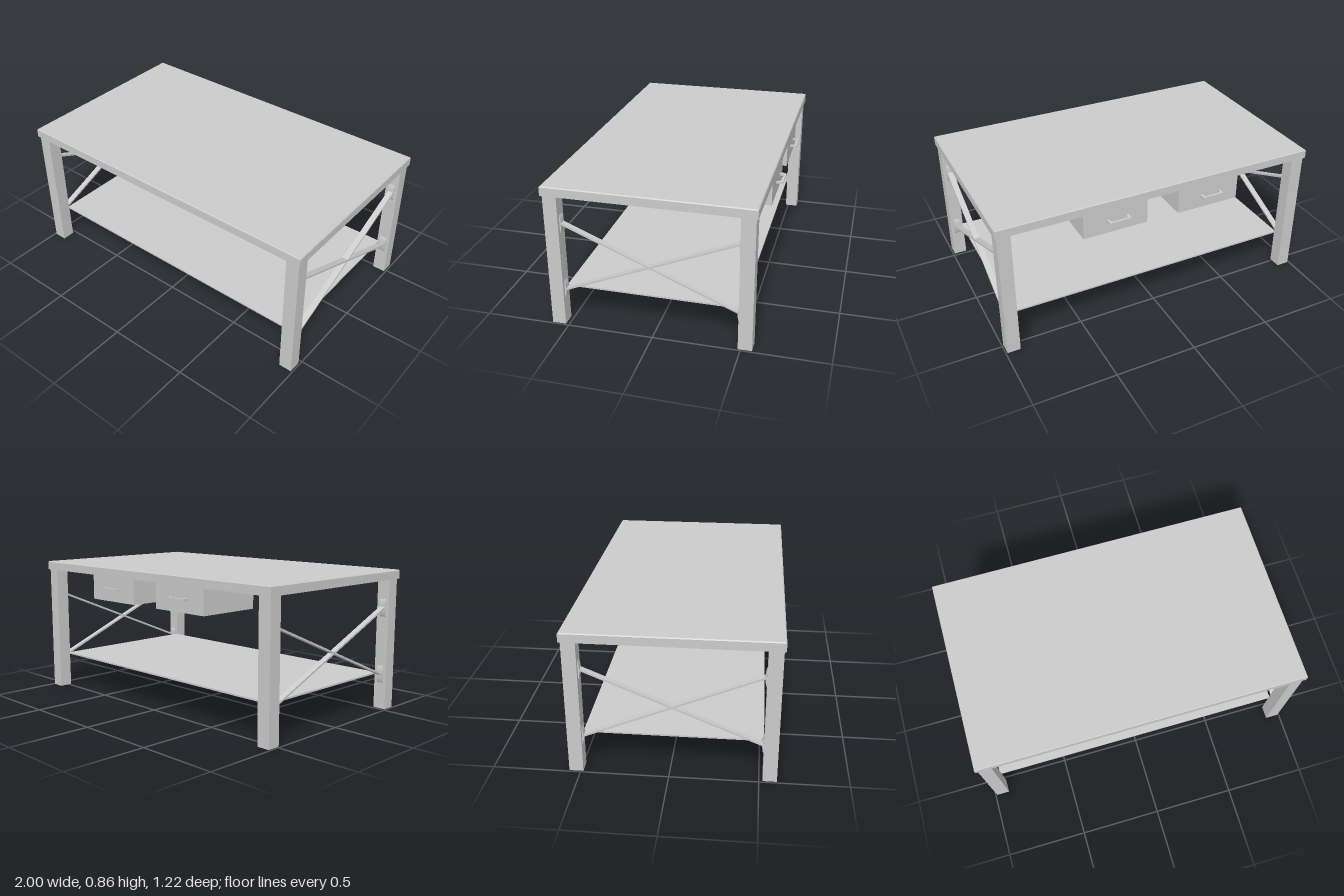
import * as THREE from 'three';

const material = new THREE.MeshStandardMaterial({ color: 0xcccccc, flatShading: true });

export function createModel() {
  const table = new THREE.Group();
  table.name = 'coffeeTable';

  const add = (name, geometry, x = 0, y = 0, z = 0) => {
    const mesh = new THREE.Mesh(geometry, material);
    mesh.name = name;
    mesh.position.set(x, y, z);
    table.add(mesh);
    return mesh;
  };
  // Box given by its lower and upper limits on each axis
  const block = (name, x0, x1, y0, y1, z0, z1) =>
    add(name, new THREE.BoxGeometry(x1 - x0, y1 - y0, z1 - z0),
      (x0 + x1) / 2, (y0 + y1) / 2, (z0 + z1) / 2);

  const backZ = -0.575, frontZ = 0.61;       // tabletop limits
  const legBack = -0.485, legFront = 0.52;   // inner faces of the legs
  const legX = 0.95, legW = 0.08;

  // Tabletop rim, hollow underneath
  const rect = (Type, x, z0, z1) => new Type([
    new THREE.Vector2(-x, -z1), new THREE.Vector2(x, -z1),
    new THREE.Vector2(x, -z0), new THREE.Vector2(-x, -z0)]);
  const rim = rect(THREE.Shape, 1, backZ, frontZ);
  rim.holes.push(rect(THREE.Path, 0.91, legBack, legFront));
  add('tabletopRim', new THREE.ExtrudeGeometry(rim, { depth: 0.04, bevelEnabled: false })
    .rotateX(-Math.PI / 2), 0, 0.805, 0);

  // Panel closing the rim, with a small chamfer around its upper edge
  block('tabletopPanel', -1, 1, 0.845, 0.854, backZ, frontZ);
  const edge = block('tabletopChamfer', -1, 1, 0.854, 0.86, backZ, frontZ);
  const p = edge.geometry.attributes.position;
  for (let i = 0; i < p.count; i++) {
    if (p.getY(i) > 0) {
      p.setX(i, p.getX(i) - Math.sign(p.getX(i)) * 0.005);
      p.setZ(i, p.getZ(i) - Math.sign(p.getZ(i)) * 0.005);
    }
  }
  edge.geometry.computeVertexNormals();

  // Lower shelf
  block('shelf', -0.92, 0.92, 0.215, 0.225, legBack, legFront);

  // Shallow domed plate, extruded across the leg
  const dome = new THREE.Shape();
  dome.moveTo(0, -0.054);
  dome.bezierCurveTo(0.013, -0.03, 0.013, 0.03, 0, 0.054);
  dome.closePath();
  const plate = new THREE.ExtrudeGeometry(dome, { depth: 0.04, bevelEnabled: false, curveSegments: 10 });
  plate.translate(0, 0, -0.02);

  for (const side of [-1, 1]) {
    const x = side * legX;
    // Legs and brace plates
    for (const [z0, z1, inner, turn] of [
      [legFront, legFront + legW, legFront, Math.PI / 2],
      [legBack - legW, legBack, legBack, -Math.PI / 2]]) {
      block('leg', x - legW / 2, x + legW / 2, 0, 0.805, z0, z1);
      for (const y of [0.217, 0.63]) add('bracePlate', plate, x, y, inner).rotation.y = turn;
    }
    // Crossed flat braces
    const dz = 1.0, dy = 0.418;
    for (const tilt of [-1, 1]) {
      const bar = add('crossBrace', new THREE.BoxGeometry(0.035, 0.011, Math.hypot(dz, dy)),
        x, 0.425, 0.0175);
      bar.rotation.x = tilt * Math.atan2(dy, dz);
    }
  }

  // Drawer pull: flat bracket with a tapered opening
  const pull = new THREE.Shape([
    [-0.068, 0], [-0.068, 0.042], [0.068, 0.042], [0.068, 0],
    [0.058, 0], [0.045, 0.029], [-0.045, 0.029], [-0.058, 0],
  ].map(([a, b]) => new THREE.Vector2(a, b)));
  const pullGeometry = new THREE.ExtrudeGeometry(pull, { depth: 0.012, bevelEnabled: false })
    .rotateX(-Math.PI / 2);

  // Two drawers opening at the back
  for (const x of [-0.31, 0.295]) {
    block('drawer', x - 0.2, x + 0.2, 0.65, 0.845, -0.484, -0.165);
    block('drawerFront', x - 0.2, x + 0.2, 0.65, 0.805, -0.568, -0.484);
    add('drawerHandle', pullGeometry, x - 0.012, 0.725, -0.568);
  }
  return table;
}
